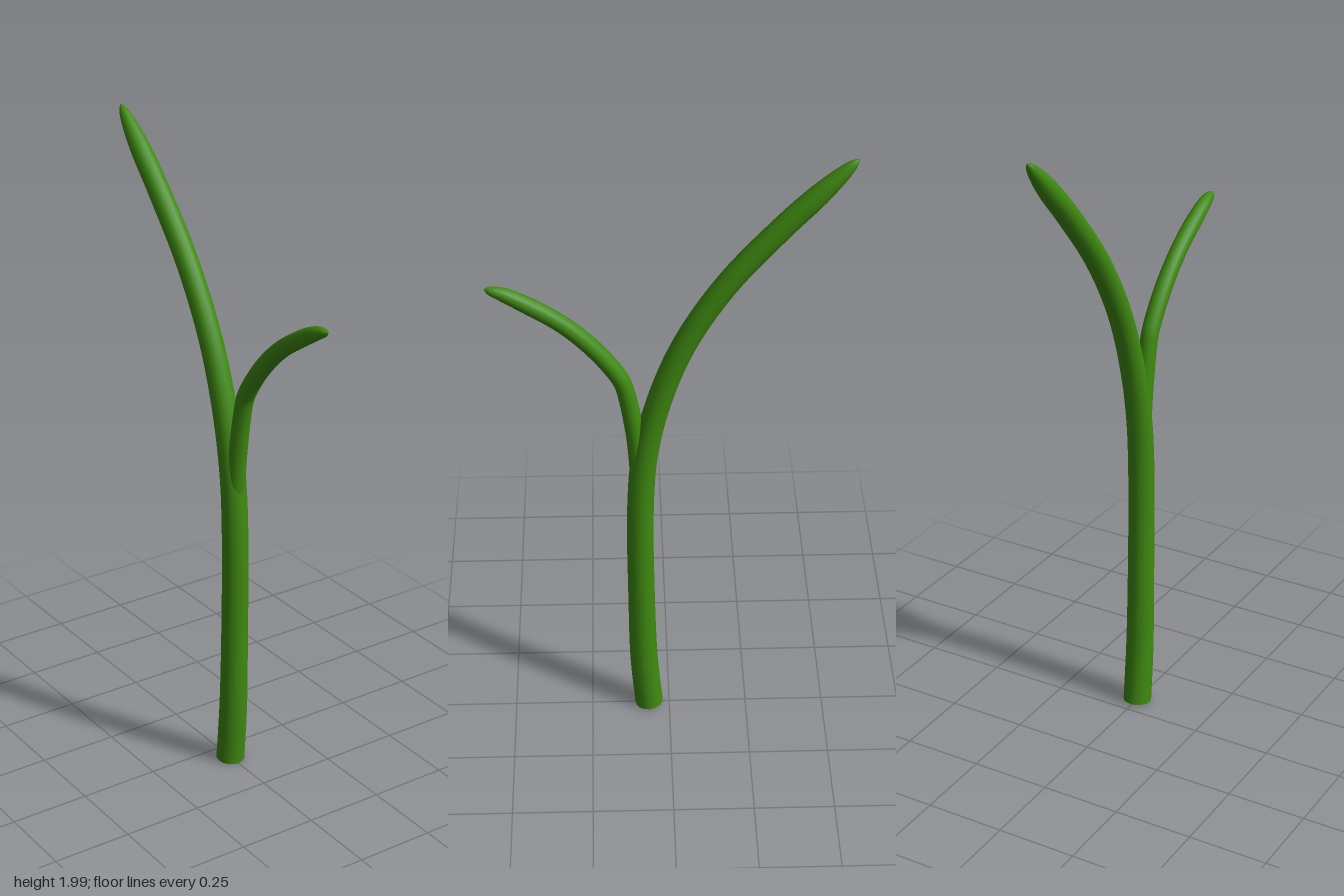
import * as THREE from 'three';

// Sweeps a round, tapering stalk along points given as [z, y, radius].
function stalkGeometry(points, steps, sides = 16) {
  const curve = new THREE.CatmullRomCurve3(points.map(([z, y, r]) => new THREE.Vector3(r, y, z)));
  const pos = [], index = [];
  const addRing = (t) => {
    const p = curve.getPoint(t), d = curve.getTangent(t);
    const len = Math.hypot(d.y, d.z), ty = d.y / len, tz = d.z / len;
    const r = Math.max(p.x, 0.001);
    for (let j = 0; j < sides; j++) {
      const a = (j / sides) * Math.PI * 2;
      const s = Math.sin(a) * r;
      pos.push(Math.cos(a) * r, p.y - tz * s, p.z + ty * s);
    }
  };
  // side wall
  for (let i = 0; i <= steps; i++) addRing(i / steps);
  for (let i = 0; i < steps; i++) {
    for (let j = 0; j < sides; j++) {
      const k = (j + 1) % sides;
      const a = i * sides + j, b = i * sides + k;
      index.push(a, a + sides, b, b, a + sides, b + sides);
    }
  }
  // flat foot
  const foot = pos.length / 3;
  addRing(0);
  for (let j = 1; j < sides - 1; j++) index.push(foot, foot + j, foot + j + 1);
  // closed tip
  const tip = steps * sides;
  for (let j = 1; j < sides - 1; j++) index.push(tip, tip + j + 1, tip + j);

  const geometry = new THREE.BufferGeometry();
  geometry.setAttribute('position', new THREE.Float32BufferAttribute(pos, 3));
  geometry.setIndex(index);
  geometry.computeVertexNormals();
  return geometry;
}

export function createModel() {
  const group = new THREE.Group();
  group.name = 'sprout';
  const green = new THREE.MeshStandardMaterial({ color: 0x3f8a10 });
  green.name = 'stemGreen';

  const addStalk = (name, points, steps) => {
    const mesh = new THREE.Mesh(stalkGeometry(points, steps), green);
    mesh.name = name;
    group.add(mesh);
  };

  // main stem, leaning back towards its tip
  addStalk('mainStem', [
    [0.066, 0.008, 0.045], [0.081, 0.2, 0.044], [0.087, 0.45, 0.042], [0.088, 0.8, 0.041],
    [0.074, 1.0, 0.04], [0.03, 1.2, 0.038], [-0.045, 1.4, 0.036], [-0.165, 1.6, 0.035],
    [-0.32, 1.785, 0.034], [-0.42, 1.89, 0.031], [-0.485, 1.957, 0.021],
    [-0.512, 1.985, 0.012], [-0.525, 1.998, 0.002],
  ], 72);

  // side shoot, curving forwards
  addStalk('sideShoot', [
    [0.09, 0.9, 0.027], [0.102, 1.08, 0.028], [0.132, 1.25, 0.027], [0.146, 1.285, 0.027],
    [0.215, 1.382, 0.027], [0.31, 1.475, 0.026], [0.42, 1.548, 0.025],
    [0.48, 1.58, 0.02], [0.515, 1.593, 0.012], [0.528, 1.598, 0.002],
  ], 60);

  return group;
}
